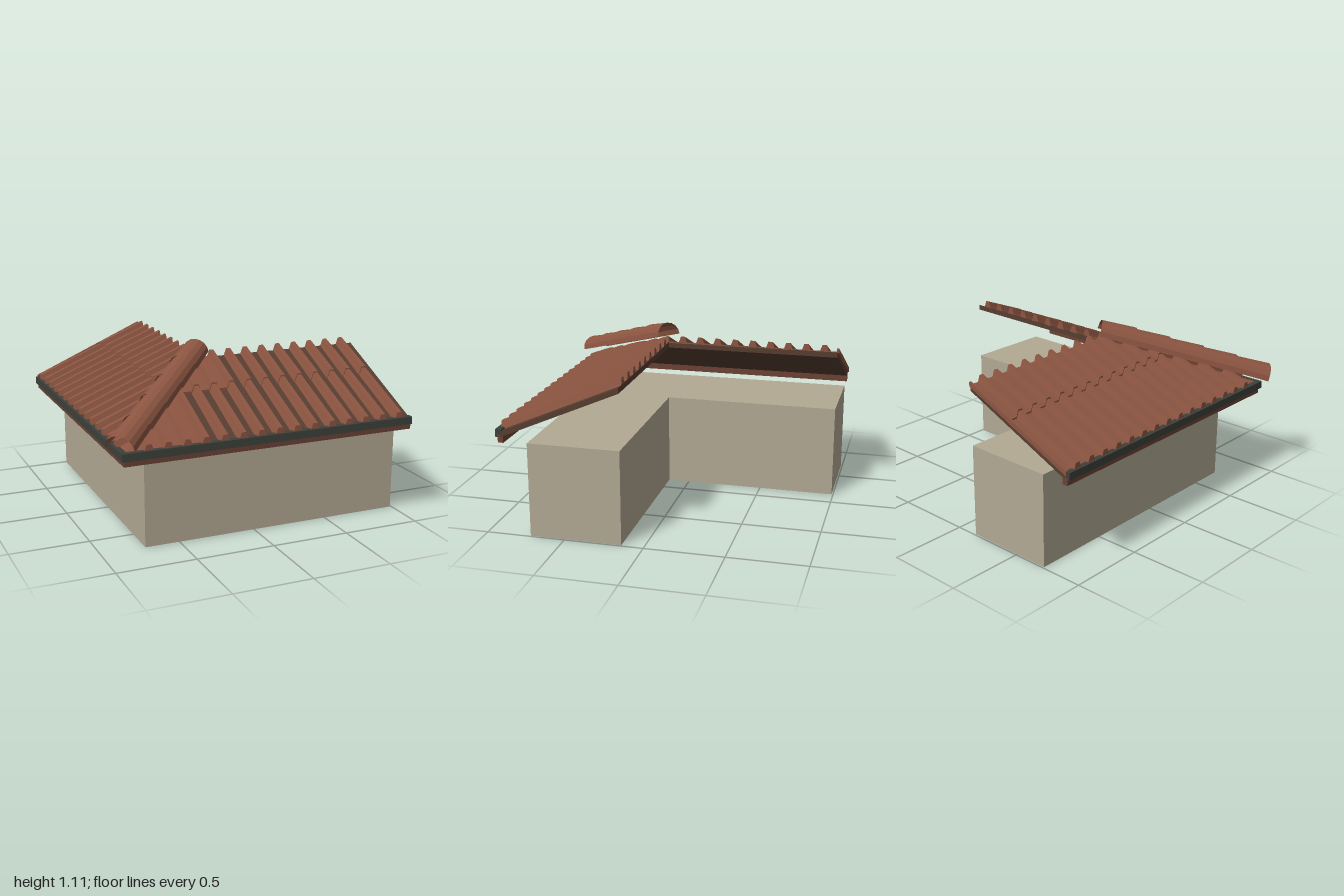
import * as THREE from 'three';

const mat = (name, color, side = THREE.FrontSide) => {
  const m = new THREE.MeshStandardMaterial({ color, side });
  m.name = name;
  return m;
};

// The roof slope: u runs along the eave, d is the distance out from the ridge, h is height above the deck.
const RIDGE = 0.14, EAVE = 0.905, END = 0.99, MID = 0.46;
const slopeY = d => 0.985 - 0.435 * (d - RIDGE);
const frontWing = ([u, d, h]) => new THREE.Vector3(u, slopeY(d) + h, d);
const sideWing = ([u, d, h]) => new THREE.Vector3(-d, slopeY(d) + h, -u);

// Closed flat-shaded prism between two matching rings, always wound outwards.
function prism(ringA, ringB, place) {
  const a = ringA.map(place), b = ringB.map(place), n = a.length, tris = [];
  for (let i = 0; i < n; i++) {
    const j = (i + 1) % n;
    tris.push([a[i], a[j], b[j]], [a[i], b[j], b[i]]);
    if (i > 0 && i < n - 1) tris.push([a[0], a[i + 1], a[i]], [b[0], b[i], b[i + 1]]);
  }
  const origin = a[0], cross = new THREE.Vector3();
  let volume = 0;
  for (const [p, q, r] of tris) {
    cross.crossVectors(q.clone().sub(origin), r.clone().sub(origin));
    volume += p.clone().sub(origin).dot(cross);
  }
  const pts = tris.flatMap(([p, q, r]) => (volume < 0 ? [p, r, q] : [p, q, r]));
  const g = new THREE.BufferGeometry().setFromPoints(pts);
  g.computeVertexNormals();
  return g;
}

// Flat plate on the slope: corners are [u, d, topHeight].
const plate = (corners, thick, place) =>
  prism(corners.map(([u, d, h]) => [u, d, h - thick]), corners, place);

export function createModel() {
  const model = new THREE.Group();
  model.name = 'cornerRoof';
  const wallMat = mat('wall plaster', 0xb3a994);
  const tileMat = mat('terracotta', 0x8c5541);
  const capMat = mat('hip terracotta', 0x8c5541, THREE.DoubleSide);
  const deckMat = mat('roof deck', 0x573d31);
  const fasciaMat = mat('fascia wood', 0x6b4235);
  const gutterMat = mat('gutter metal', 0x3d413a);

  const add = (parent, name, geometry, material) => {
    const m = new THREE.Mesh(geometry, material);
    m.name = name;
    parent.add(m);
    return m;
  };

  // L-shaped walls
  const plan = new THREE.Shape([[-0.72, -0.72], [0.99, -0.72], [0.99, -0.14], [-0.14, -0.14], [-0.14, 0.99], [-0.72, 0.99]]
    .map(([x, y]) => new THREE.Vector2(x, y)));
  const walls = new THREE.ExtrudeGeometry(plan, { depth: 0.6, bevelEnabled: false });
  walls.rotateX(-Math.PI / 2);
  add(model, 'walls', walls, wallMat);

  // Trapezoid tile profile as [u offset, height]
  const profile = [[-0.032, -0.004], [-0.024, 0.014], [-0.014, 0.045], [0.014, 0.045], [0.024, 0.014], [0.032, -0.004]];
  const courses = [[RIDGE, MID], [MID - 0.03, EAVE]];

  for (const [name, place] of [['frontWing', frontWing], ['sideWing', sideWing]]) {
    const wing = new THREE.Group();
    wing.name = name;
    model.add(wing);

    // Sloping deck, mitred at the hip
    add(wing, 'deck', plate([[-RIDGE, RIDGE, 0], [END, RIDGE, 0], [END, 0.89, 0], [-0.89, 0.89, 0]], 0.035, place), deckMat);

    // Pan tiles: the whole side wing, but only beside the hip on the front wing
    const side = place === sideWing;
    const upperEnd = side ? 1 : -0.07, lowerEnd = side ? 1 : -0.38;
    add(wing, 'upperPans', plate([[-RIDGE, RIDGE, 0.006], [upperEnd, RIDGE, 0.006], [upperEnd, MID, 0.014], [-MID, MID, 0.014]], 0.009, place), tileMat);
    add(wing, 'lowerPans', plate([[-MID, MID, 0.004], [lowerEnd, MID, 0.004], [lowerEnd, EAVE, 0.012], [-EAVE, EAVE, 0.012]], 0.009, place), tileMat);

    // Raised tile ribs in two overlapping courses, cut along the hip
    for (let k = -7; k <= 8; k++) {
      const u = -0.042 + k * 0.1183;
      for (const [d0, d1] of courses) {
        if (-u + 0.035 > d1) continue;
        const upper = profile.map(([o, h]) => [u + o, Math.max(d0, -u - o), h]);
        const lower = profile.map(([o, h]) => [u + o * 1.1, d1, h + (h > 0 ? 0.01 : 0)]);
        add(wing, 'tileRib', prism(upper, lower, place), tileMat);
      }
    }
    if (side) {
      // Verge strip closing the far end of the side wing
      add(wing, 'vergeTile', plate([[0.985, RIDGE, 0.026], [1, RIDGE, 0.026], [1, EAVE, 0.03], [0.985, EAVE, 0.03]], 0.03, place), tileMat);
    }

    // Fascia board and gutter along the eave
    const beam = (part, start, y0, y1, d0, d1, material) => {
      const ring = u => [[u, y0, d0], [u, y1, d0], [u, y1, d1], [u, y0, d1]];
      const level = ([u, y, d]) => side ? new THREE.Vector3(-d, y, -u) : new THREE.Vector3(u, y, d);
      add(wing, part, prism(ring(start), ring(END), level), material);
    };
    beam('fascia', -0.905, 0.59, 0.64, 0.87, 0.905, fasciaMat);
    beam('gutter', -0.92, 0.625, 0.673, 0.88, 0.92, gutterMat);
  }

  // Overlapping half-round caps climbing the hip
  const hip = new THREE.Group();
  hip.name = 'hipCaps';
  model.add(hip);
  const low = new THREE.Vector3(-0.935, 0.705, 0.935), high = new THREE.Vector3(-0.145, 1.035, 0.14);
  const dir = high.clone().sub(low).normalize();
  const up = new THREE.Vector3(0, 1, 0).addScaledVector(dir, -dir.y).normalize();
  const basis = new THREE.Matrix4().makeBasis(dir.clone().cross(up), dir, up);
  const count = 5, step = low.distanceTo(high) / count;
  for (let i = 0; i < count; i++) {
    const length = step + (i < count - 1 ? 0.025 : 0);
    const g = new THREE.CylinderGeometry(0.083, 0.093, length, 8, 1, true, -Math.PI / 2, Math.PI).toNonIndexed();
    g.computeVertexNormals();
    const cap = add(hip, 'hipCap', g, capMat);
    cap.quaternion.setFromRotationMatrix(basis);
    cap.position.copy(low).addScaledVector(dir, i * step + length / 2);
  }
  return model;
}
